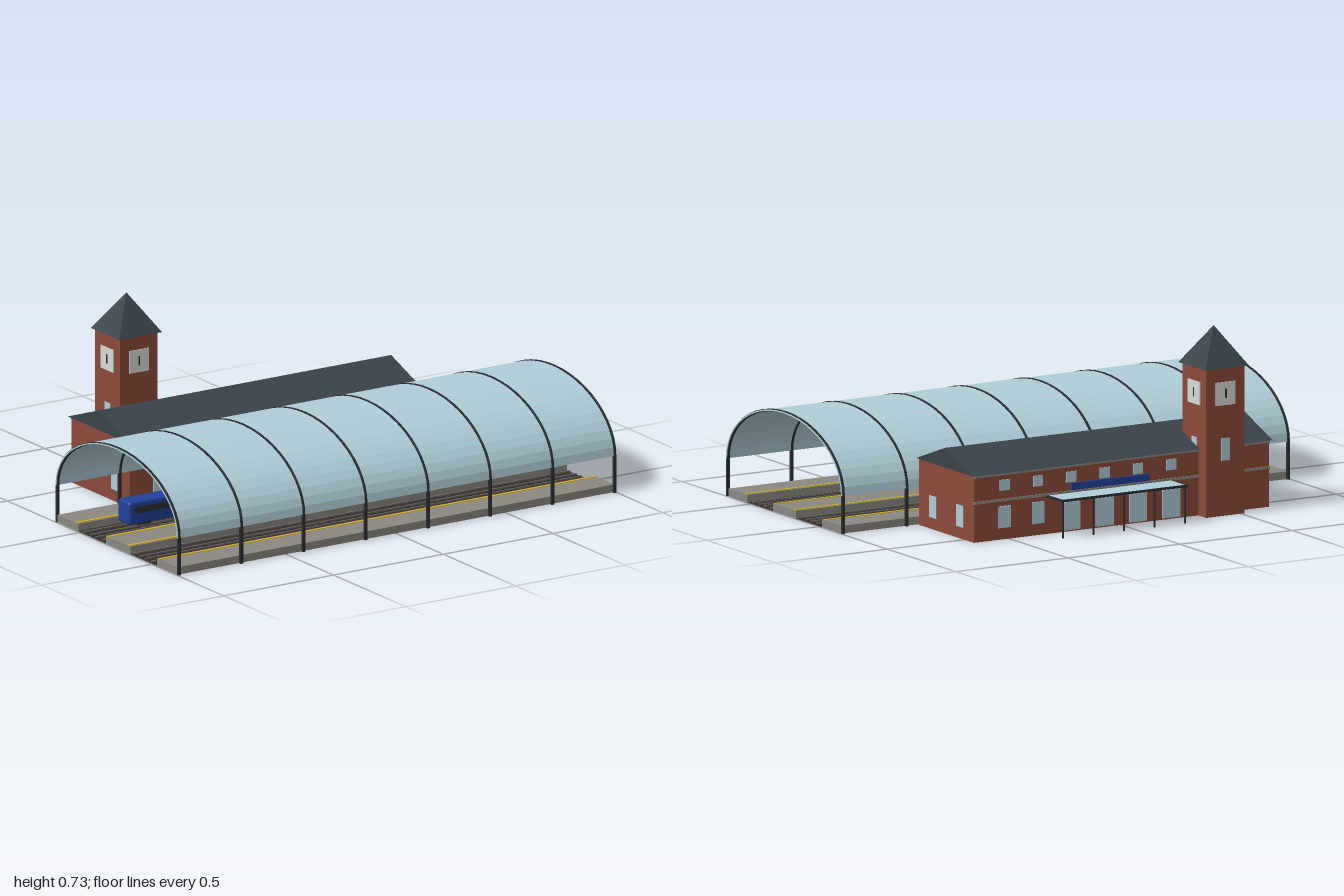
import * as THREE from 'three';
import { RoundedBoxGeometry } from 'three/addons/geometries/RoundedBoxGeometry.js';

const mat = (name, color, side = THREE.FrontSide) => {
  const m = new THREE.MeshStandardMaterial({ color, side });
  m.name = name;
  return m;
};

export function createModel() {
  const glass = mat('glass', 0xb0ced8, THREE.DoubleSide);
  const iron = mat('dark iron', 0x2b2f33);
  const slate = mat('slate', 0x3a434a);
  const brick = mat('brick', 0x8c4a3a);
  const stone = mat('platform stone', 0x8a8880);
  const blue = mat('blue paint', 0x21409a);
  const yellow = mat('safety yellow', 0xd9b21c);
  const white = mat('clock white', 0xd8dcd6);
  const bed = mat('track bed', 0x3c2e28);
  const steel = mat('rail steel', 0x6c6e70);

  const model = new THREE.Group();
  model.name = 'railwayStation';
  const group = (name) => {
    const g = new THREE.Group();
    g.name = name;
    model.add(g);
    return g;
  };
  const add = (parent, name, geo, material, x = 0, y = 0, z = 0) => {
    const m = new THREE.Mesh(geo, material);
    m.name = name;
    m.position.set(x, y, z);
    parent.add(m);
    return m;
  };
  // Box given by its limits on each axis
  const box = (parent, name, material, x0, x1, y0, y1, z0, z1) =>
    add(parent, name, new THREE.BoxGeometry(x1 - x0, y1 - y0, z1 - z0), material,
      (x0 + x1) / 2, (y0 + y1) / 2, (z0 + z1) / 2);

  // Platforms with yellow edge lines beside the tracks
  const platforms = group('platforms');
  for (const [z0, z1, edges] of [
    [0.53, 0.67, [0.545]], [0.175, 0.345, [0.19, 0.33]], [-0.158, -0.015, [-0.03]],
  ]) {
    box(platforms, 'platform', stone, -0.995, 0.995, 0, 0.03, z0, z1);
    for (const z of edges) box(platforms, 'edgeLine', yellow, -0.995, 0.995, 0.029, 0.032, z - 0.006, z + 0.006);
  }

  // Four tracks on two beds
  const tracks = group('tracks');
  box(tracks, 'trackBed', bed, -0.995, 0.995, 0, 0.002, 0.345, 0.53);
  box(tracks, 'trackBed', bed, -0.995, 0.995, 0, 0.002, -0.015, 0.175);
  for (const z of [0.468, 0.388, 0.126, 0.046]) {
    for (let i = 0; i < 50; i++) {
      const x = -0.98 + i * 0.04;
      box(tracks, 'sleeper', bed, x - 0.008, x + 0.008, 0.002, 0.006, z - 0.036, z + 0.036);
    }
    for (const s of [-0.022, 0.022])
      box(tracks, 'rail', steel, -0.995, 0.995, 0.005, 0.01, z + s - 0.003, z + s + 0.003);
  }

  // Train
  const train = group('train');
  add(train, 'trainBody', new RoundedBoxGeometry(1.31, 0.09, 0.082, 2, 0.01), blue, -0.175, 0.066, 0.046);
  for (const s of [-1, 1]) {
    const z = 0.046 + s * 0.041;
    box(train, 'windowStrip', iron, -0.805, 0.455, 0.064, 0.09, z - 0.002, z + 0.002);
  }
  for (let i = 0; i < 8; i++)
    box(train, 'bogie', iron, -0.78 + i * 0.165, -0.72 + i * 0.165, 0.01, 0.025, 0.022, 0.07);

  // Half-elliptical band, extruded along x
  const arch = (thick, x0, x1, material, parent, name) => {
    const pts = [];
    const N = 24, t = thick / 2;
    for (const [d, dir] of [[t, 1], [-t, -1]])
      for (let i = 0; i <= N; i++) {
        const a = Math.PI * (dir > 0 ? i : N - i) / N;
        pts.push(new THREE.Vector2((0.421 + d) * Math.cos(a), (0.25 + d) * Math.sin(a)));
      }
    const geo = new THREE.ExtrudeGeometry(new THREE.Shape(pts), { depth: x1 - x0, bevelEnabled: false });
    geo.rotateY(-Math.PI / 2); // shape x -> z, depth -> -x
    return add(parent, name, geo, material, x1, 0.147, 0.257);
  };

  // Vaulted train shed
  const shed = group('trainShed');
  arch(0.005, -1, 1, glass, shed, 'vault');
  for (let i = 0; i < 8; i++) {
    const x = -0.992 + i * 1.984 / 7;
    arch(0.01, x - 0.005, x + 0.005, iron, shed, 'rib');
    for (const z of [0.678, -0.164])
      box(shed, 'post', iron, x - 0.006, x + 0.006, 0, 0.147, z - 0.005, z + 0.005);
  }

  // Station hall with gabled slate roof
  const hall = group('stationHall');
  box(hall, 'walls', brick, -0.66, 0.657, 0, 0.262, -0.57, -0.17);
  const gable = new THREE.Shape([[-0.21, 0], [0.21, 0], [0, 0.076]].map(([x, y]) => new THREE.Vector2(x, y)));
  const roof = new THREE.ExtrudeGeometry(gable, { depth: 1.335, bevelEnabled: false });
  roof.rotateY(-Math.PI / 2);
  add(hall, 'roof', roof, slate, 0.667, 0.26, -0.375);
  box(hall, 'stringCourse', stone, -0.66, 0.657, 0.148, 0.158, -0.575, -0.569);
  box(hall, 'cornice', stone, -0.66, 0.657, 0.25, 0.26, -0.577, -0.569);

  // Back and front openings
  for (let i = 0; i < 8; i++) {
    const x = (i - 3.5) * 0.1486;
    const door = i > 1 && i < 6, w = door ? 0.04 : 0.027;
    box(hall, 'upperWindow', glass, x - 0.022, x + 0.022, 0.19, 0.232, -0.573, -0.569);
    box(hall, door ? 'backDoor' : 'lowerWindow', glass, x - w, x + w, door ? 0.005 : 0.045, door ? 0.115 : 0.13, -0.573, -0.569);
    box(hall, 'frontDoor', glass, x - 0.032, x + 0.032, 0, 0.095, -0.171, -0.167);
  }
  // End windows
  for (const x of [-0.66, 0.657]) for (const z of [-0.27, -0.47])
    box(hall, 'endWindow', glass, x - 0.002, x + 0.002, 0.045, 0.13, z - 0.026, z + 0.026);
  box(hall, 'signBoard', blue, -0.12, 0.225, 0.16, 0.187, -0.58, -0.569);

  // Entrance canopy
  const canopy = group('canopy');
  box(canopy, 'canopyGlass', glass, -0.222, 0.327, 0.145, 0.15, -0.678, -0.57);
  box(canopy, 'frontBeam', iron, -0.228, 0.335, 0.142, 0.151, -0.683, -0.677);
  for (const x of [-0.225, 0.331])
    box(canopy, 'sideBeam', iron, x - 0.004, x + 0.004, 0.142, 0.151, -0.683, -0.57);
  for (let i = 0; i < 5; i++)
    add(canopy, 'canopyPost', new THREE.CylinderGeometry(0.004, 0.004, 0.145, 8), iron, -0.22 + i * 0.136, 0.0725, -0.675);

  // Clock tower
  const tower = group('clockTower');
  tower.position.set(-0.43, 0, -0.541);
  box(tower, 'shaft', brick, -0.086, 0.086, 0, 0.578, -0.086, 0.086);
  const spire = new THREE.ConeGeometry(0.098 * Math.SQRT2, 0.15, 4, 1).toNonIndexed();
  spire.rotateY(Math.PI / 4);
  spire.computeVertexNormals();
  add(tower, 'spire', spire, slate, 0, 0.65, 0);
  for (let i = 0; i < 4; i++) {
    const side = new THREE.Group();
    side.name = 'towerFace';
    side.rotation.y = i * Math.PI / 2;
    tower.add(side);
    box(side, 'clockFace', white, -0.044, 0.044, 0.43, 0.52, 0.085, 0.089);
    box(side, 'clockHand', iron, -0.003, 0.003, 0.457, 0.494, 0.088, 0.091);
    box(side, 'towerWindow', glass, -0.019, 0.019, 0.215, 0.302, 0.085, 0.088);
  }
  return model;
}
